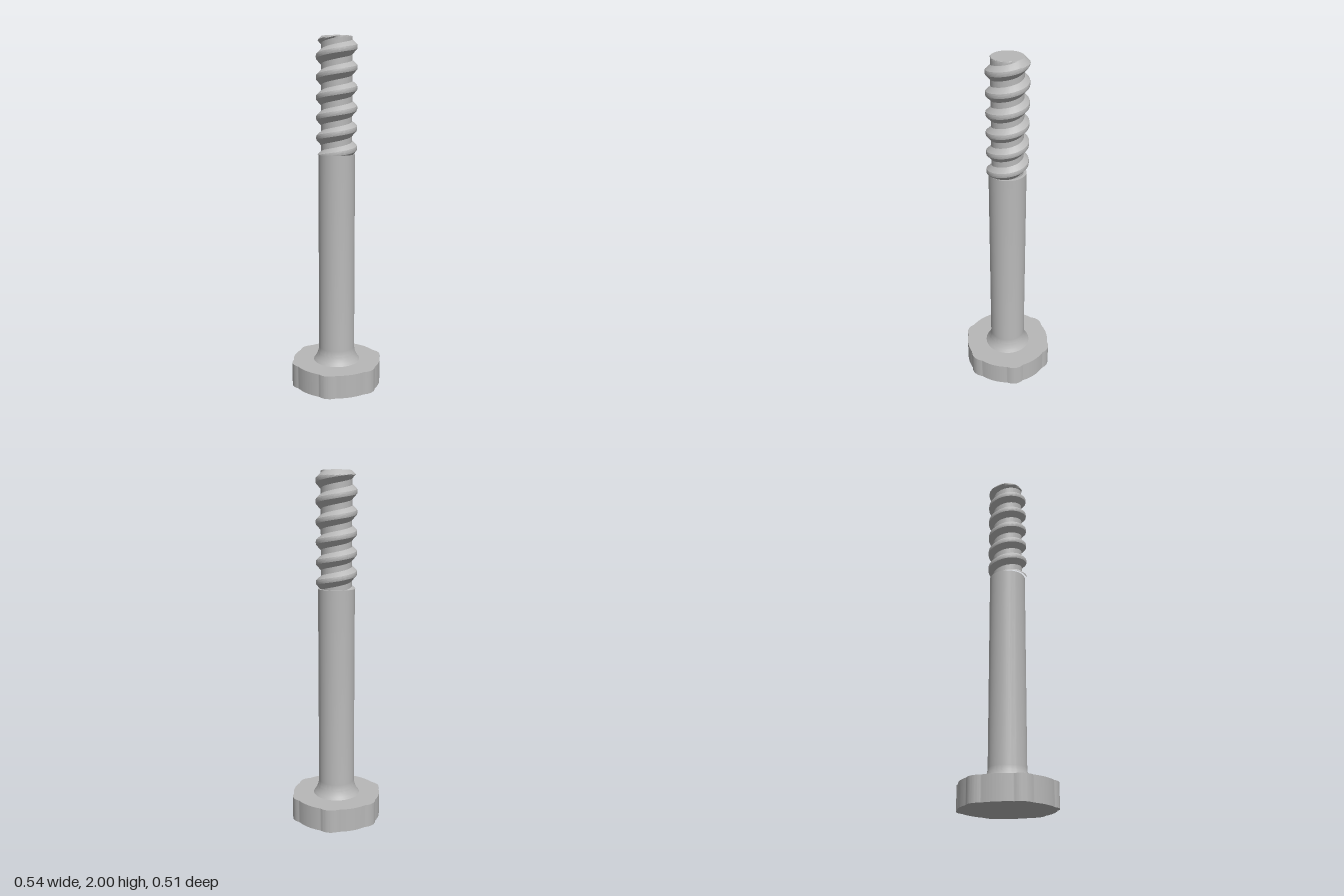
import * as THREE from 'three';
import { toCreasedNormals } from 'three/addons/utils/BufferGeometryUtils.js';

const TAU = Math.PI * 2;
const SHANK_TOP = 1.355, TOP = 2, PITCH = 0.111, CREST_Y = 1.952;
const ROOT_R = 0.087, CREST_R = 0.115, TIP_R = 0.085;

// Thread profile over one pitch, measured from the crest centre: [phase, height 0..1]
const PROFILE = [
  [-0.5, 0], [-0.38, 0], [-0.24, 0.5], [-0.11, 0.95], [-0.05, 1],
  [0.05, 1], [0.11, 0.95], [0.22, 0.5], [0.33, 0], [0.5, 0],
];

function threadRadius(angle, y) {
  let p = (y - CREST_Y) / PITCH - angle / TAU;
  p -= Math.floor(p + 0.5);
  let h = 0;
  for (let i = 1; i < PROFILE.length; i++) {
    const [a, ha] = PROFILE[i - 1], [b, hb] = PROFILE[i];
    if (p >= a && p <= b) h = ha + (hb - ha) * (p - a) / (b - a);
  }
  // chamfer at the tip
  return Math.min(ROOT_R + (CREST_R - ROOT_R) * h, TIP_R + (TOP - y));
}

// Right-hand helical surface whose rows follow the thread edges
function threadGeometry() {
  const SEG = 96, phases = [];
  for (let turn = -8; turn <= 2; turn++) {
    for (let i = 0; i < PROFILE.length - 1; i++) {
      const a = PROFILE[i][0], b = PROFILE[i + 1][0];
      phases.push(turn + a, turn + (a + b) / 2);
    }
  }
  const pos = [], index = [], n = phases.length;
  for (let s = 0; s <= SEG; s++) {
    const a = (s / SEG) * TAU;
    for (const p of phases) {
      const y = THREE.MathUtils.clamp(CREST_Y + PITCH * (p + s / SEG), SHANK_TOP, TOP);
      const r = threadRadius(a, y);
      pos.push(r * Math.cos(a), y, -r * Math.sin(a));
    }
  }
  const yOf = (i) => pos[i * 3 + 1];
  const addTriangle = (a, b, c) => {
    if (yOf(a) !== yOf(b) || yOf(b) !== yOf(c)) index.push(a, b, c);
  };
  for (let s = 0; s < SEG; s++) {
    for (let j = 0; j < n - 1; j++) {
      const a = s * n + j, b = a + n;
      addTriangle(a, b, b + 1);
      addTriangle(a, b + 1, a + 1);
    }
  }
  const g = new THREE.BufferGeometry();
  g.setAttribute('position', new THREE.Float32BufferAttribute(pos, 3));
  g.setIndex(index);
  return toCreasedNormals(g, 0.5);
}

// Round head outline with six rounded lobes
function headGeometry() {
  const points = [];
  for (let i = 0; i < 360; i++) {
    const a = (i / 360) * TAU;
    const d = a - Math.round(a / (TAU / 6)) * (TAU / 6);
    const disc = 0.075 ** 2 - (0.195 * Math.sin(d)) ** 2;
    const lobe = disc > 0 ? 0.195 * Math.cos(d) + Math.sqrt(disc) : 0;
    const r = Math.max(0.256, lobe);
    points.push(new THREE.Vector2(r * Math.cos(a), r * Math.sin(a)));
  }
  const g = new THREE.ExtrudeGeometry(new THREE.Shape(points), { depth: 0.135, bevelEnabled: false });
  g.rotateX(-Math.PI / 2);
  return toCreasedNormals(g, 0.35);
}

// Shank with a concave flare where it meets the head
function shankGeometry() {
  const flare = new THREE.QuadraticBezierCurve(
    new THREE.Vector2(0.135, 0.135), new THREE.Vector2(0.107, 0.17), new THREE.Vector2(0.104, 0.215));
  const profile = [...flare.getPoints(10),
    new THREE.Vector2(0.104, SHANK_TOP), new THREE.Vector2(0.06, SHANK_TOP)];
  return toCreasedNormals(new THREE.LatheGeometry(profile, 72), 0.5);
}

export function createModel() {
  const steel = new THREE.MeshStandardMaterial({ color: 0xb8b8b8 });
  steel.name = 'steel grey';
  const group = new THREE.Group();
  group.name = 'bolt';
  const add = (name, geometry) => {
    const mesh = new THREE.Mesh(geometry, steel);
    mesh.name = name;
    group.add(mesh);
    return mesh;
  };
  add('head', headGeometry());
  add('shank', shankGeometry());
  add('thread', threadGeometry());
  // flat end of the tip
  const tip = add('tipFace', new THREE.CircleGeometry(TIP_R, 96));
  tip.rotation.x = -Math.PI / 2;
  tip.position.y = TOP;
  return group;
}
